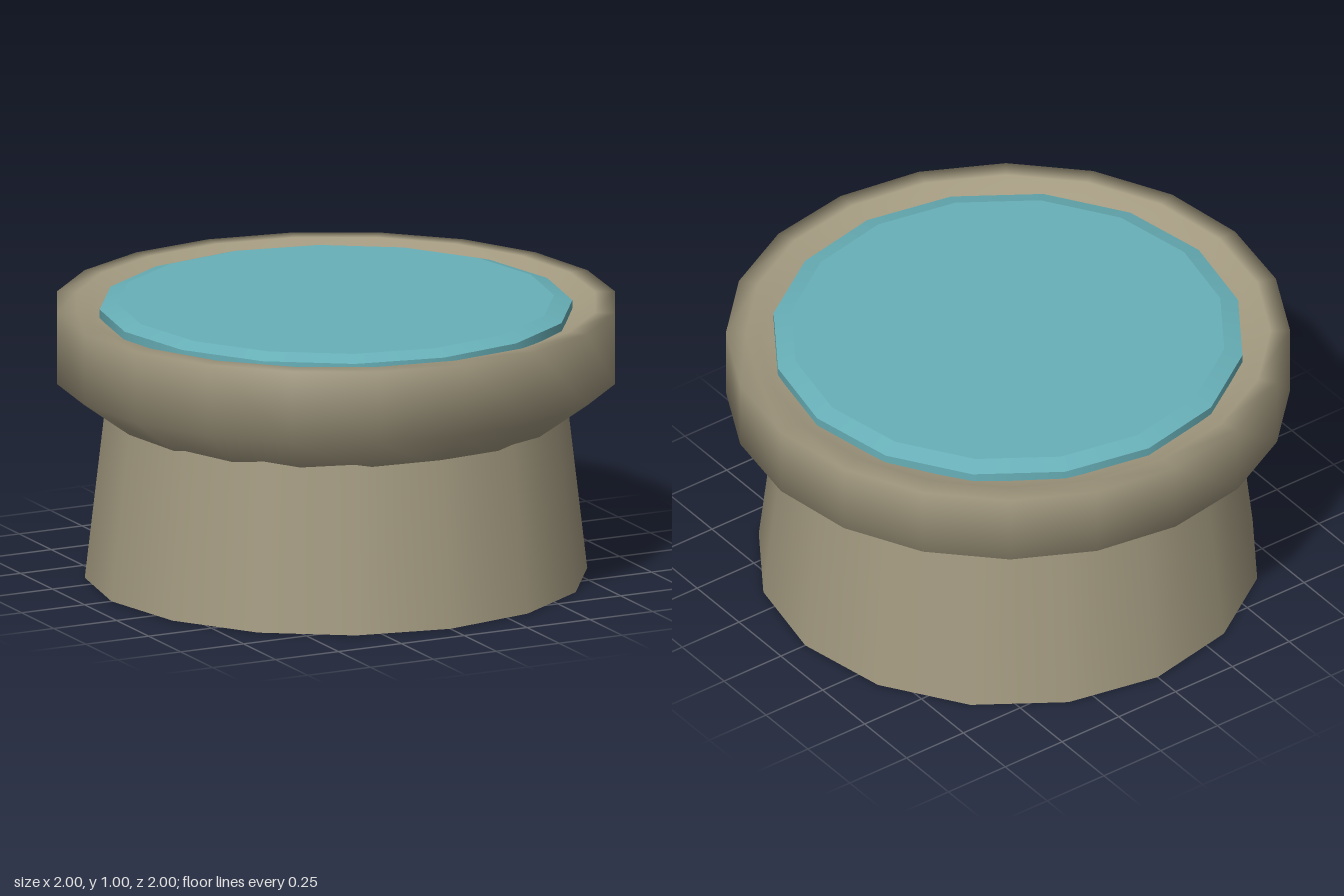
import * as THREE from 'three';

const material = (name, color) => {
  const m = new THREE.MeshStandardMaterial({ color });
  m.name = name;
  return m;
};

export function createModel() {
  const group = new THREE.Group();
  group.name = 'waterBasin';
  const stone = material('stone', 0xa39a80);
  const water = material('water', 0x68b0b8);

  const add = (name, geometry, mat, y = 0) => {
    const mesh = new THREE.Mesh(geometry, mat);
    mesh.name = name;
    mesh.position.y = y;
    group.add(mesh);
  };

  // Tapered sixteen-sided pedestal
  add('pedestal', new THREE.CylinderGeometry(0.8, 0.893, 0.8, 16), stone, 0.4);

  // Rounded rim with a shallow groove around the water
  const profile = [
    [0.78, 0.57], [1, 0.73], [1, 0.99], [0.93, 0.99], [0.88, 0.955], [0.78, 0.94],
  ].map(([r, y]) => new THREE.Vector2(r, y));
  add('rim', new THREE.LatheGeometry(profile, 20), stone);

  // Water disc: upright edge, sloped border and flat top
  const edge = new THREE.CylinderGeometry(0.84, 0.84, 0.06, 16, 1, true);
  add('waterEdge', edge, water, 0.95);
  const surface = new THREE.CylinderGeometry(0.775, 0.84, 0.02, 16);
  add('waterSurface', surface, water, 0.99);

  return group;
}
